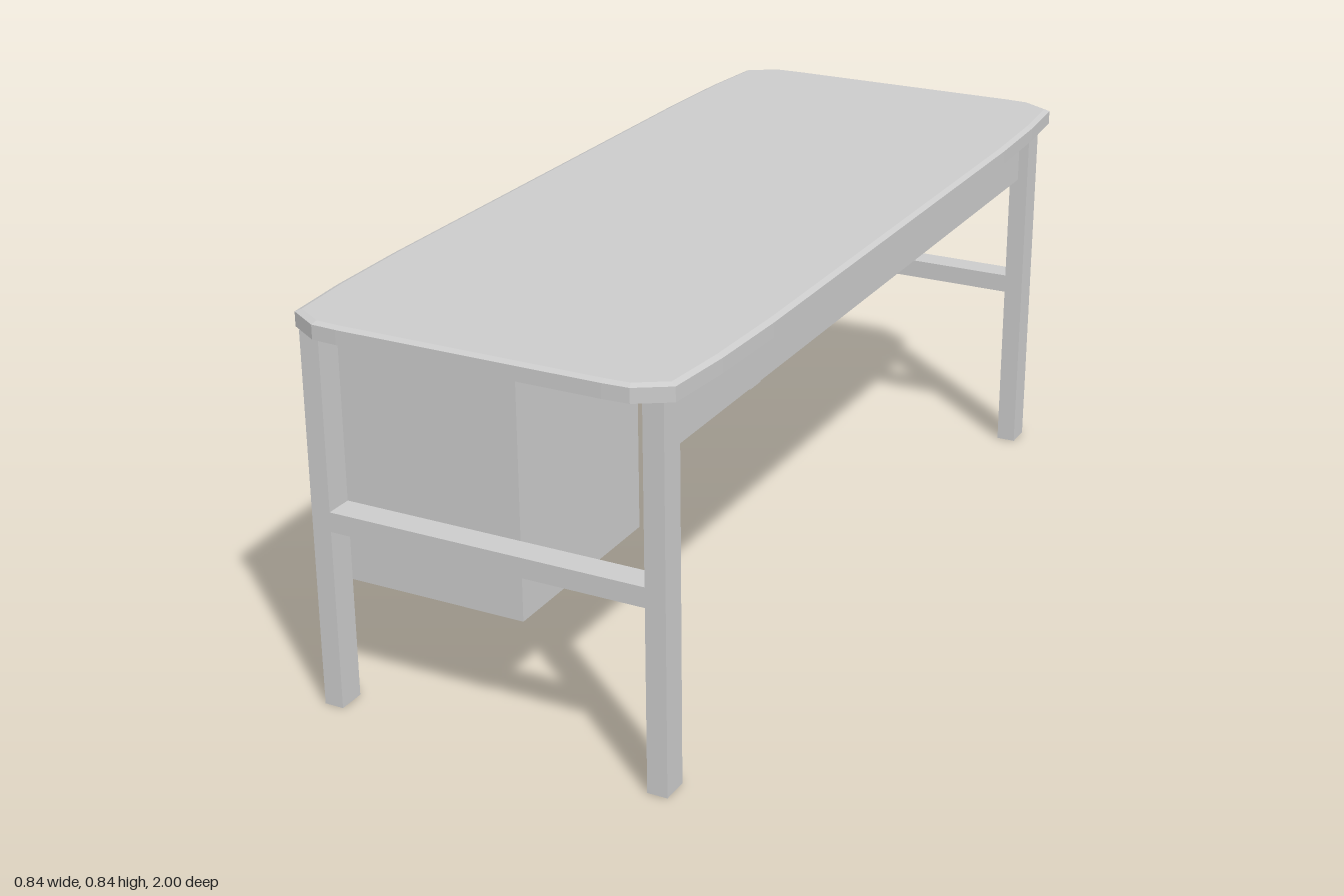
import * as THREE from 'three';

const grey = new THREE.MeshStandardMaterial({ color: 0xcccccc, flatShading: true });

export function createModel() {
  const desk = new THREE.Group();
  desk.name = 'desk';

  const add = (name, geometry) => {
    const mesh = new THREE.Mesh(geometry, grey);
    mesh.name = name;
    desk.add(mesh);
    return mesh;
  };
  // Box given by its limits on each axis
  const box = (name, x0, x1, y0, y1, z0, z1) => {
    const mesh = add(name, new THREE.BoxGeometry(x1 - x0, y1 - y0, z1 - z0));
    mesh.position.set((x0 + x1) / 2, (y0 + y1) / 2, (z0 + z1) / 2);
    return mesh;
  };

  // Tabletop: cut corners, slightly bowed long sides, bevelled rim
  const bevel = 0.012, rim = 0.005;
  const quarter = [[0.422, 0.6], [0.416, 0.8], [0.403, 0.955], [0.335, 0.997], [0.28, 1]];
  const mirrored = [...quarter].reverse();
  const outline = [
    ...quarter,
    ...mirrored.map(([x, z]) => [-x, z]),
    ...quarter.map(([x, z]) => [-x, -z]),
    ...mirrored.map(([x, z]) => [x, -z]),
  ].map(([x, z]) => new THREE.Vector2(x, z));
  const topGeometry = new THREE.ExtrudeGeometry(new THREE.Shape(outline), {
    depth: 0.04 - 2 * rim, bevelEnabled: true, bevelSegments: 1,
    bevelSize: bevel, bevelOffset: -bevel, bevelThickness: rim,
  });
  topGeometry.rotateX(-Math.PI / 2);
  add('tabletop', topGeometry).position.y = 0.8 + rim;

  // End frames: two legs joined by a stretcher
  for (const [end, z0, z1] of [['front', 0.9, 0.96], ['back', -0.94, -0.88]]) {
    box(end + 'RightLeg', -0.392, -0.35, 0, 0.802, z0, z1);
    box(end + 'LeftLeg', 0.339, 0.382, 0, 0.802, z0, z1);
    box(end + 'Stretcher', -0.35, 0.339, 0.39, 0.432, z0, z1);
  }

  // Aprons under the top
  box('leftApron', 0.35, 0.365, 0.685, 0.802, -0.862, 0.89);
  box('rightApron', -0.375, -0.36, 0.685, 0.802, -0.862, 0.43);
  box('backApron', -0.36, 0.35, 0.685, 0.802, -0.862, -0.847);

  // Drawer cabinet with a side panel standing level with the drawer fronts
  box('cabinetBody', -0.368, 0.037, 0.256, 0.802, 0.43, 0.892);
  box('cabinetSidePanel', -0.392, -0.368, 0.256, 0.802, 0.43, 0.449);

  // Drawer fronts with slotted grips, facing -x
  const width = 0.439, height = 0.178, pitch = 0.182;
  const rectangle = (Type, w, h) => new Type([
    [-w / 2, -h / 2], [w / 2, -h / 2], [w / 2, h / 2], [-w / 2, h / 2],
  ].map(([x, y]) => new THREE.Vector2(x, y)));
  const front = rectangle(THREE.Shape, width, height);
  front.holes.push(rectangle(THREE.Path, 0.15, 0.026));
  const frontGeometry = new THREE.ExtrudeGeometry(front, { depth: 0.024, bevelEnabled: false });
  frontGeometry.rotateY(-Math.PI / 2);
  for (let i = 0; i < 3; i++) {
    add('drawerFront' + (i + 1), frontGeometry)
      .position.set(-0.368, 0.256 + height / 2 + i * pitch, 0.453 + width / 2);
  }

  return desk;
}
